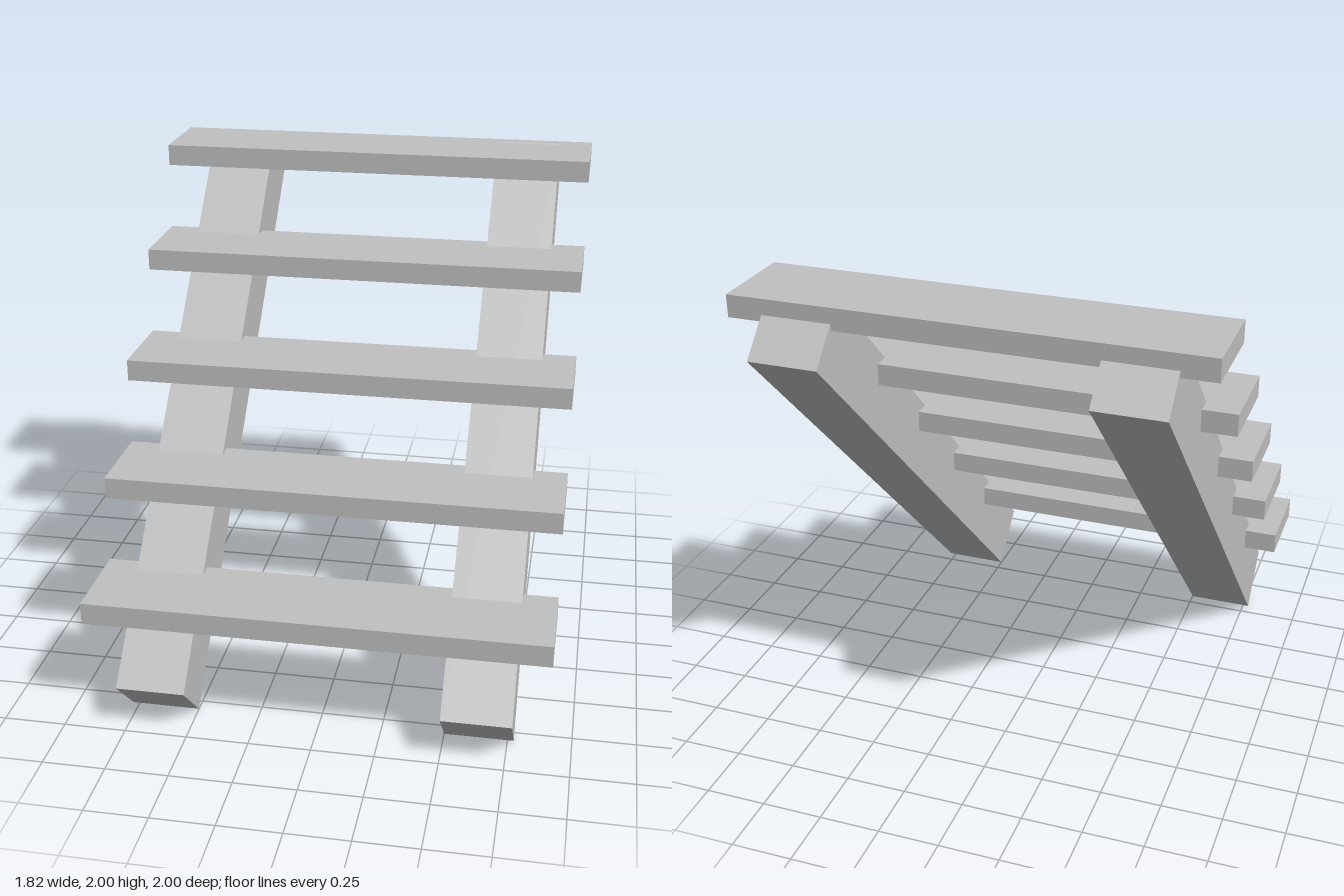
import * as THREE from 'three';

export function createModel() {
  const group = new THREE.Group();
  group.name = 'openStaircase';
  const grey = new THREE.MeshStandardMaterial({ color: 0xc0c0c0 });
  grey.name = 'plain grey';

  const addBox = (name, w, h, d, x, y, z) => {
    const mesh = new THREE.Mesh(new THREE.BoxGeometry(w, h, d), grey);
    mesh.name = name;
    mesh.position.set(x, y, z);
    group.add(mesh);
    return mesh;
  };

  // Two square beams rising towards the back at 45 degrees
  const thickness = 0.195 * Math.SQRT2;
  const length = 1.805 * Math.SQRT2;
  for (const side of [-1, 1]) {
    const beam = addBox(side > 0 ? 'leftBeam' : 'rightBeam', 0.274, thickness, length, side * 0.638, 1, 0);
    beam.rotation.x = Math.PI / 4;
  }

  // Five level treads, each set one depth back and one rise up
  const step = 0.365;
  for (let i = 0; i < 5; i++) {
    addBox(`tread${i + 1}`, 1.824, 0.088, step, 0, 0.493 + i * step, 0.772 - i * step);
  }

  return group;
}
